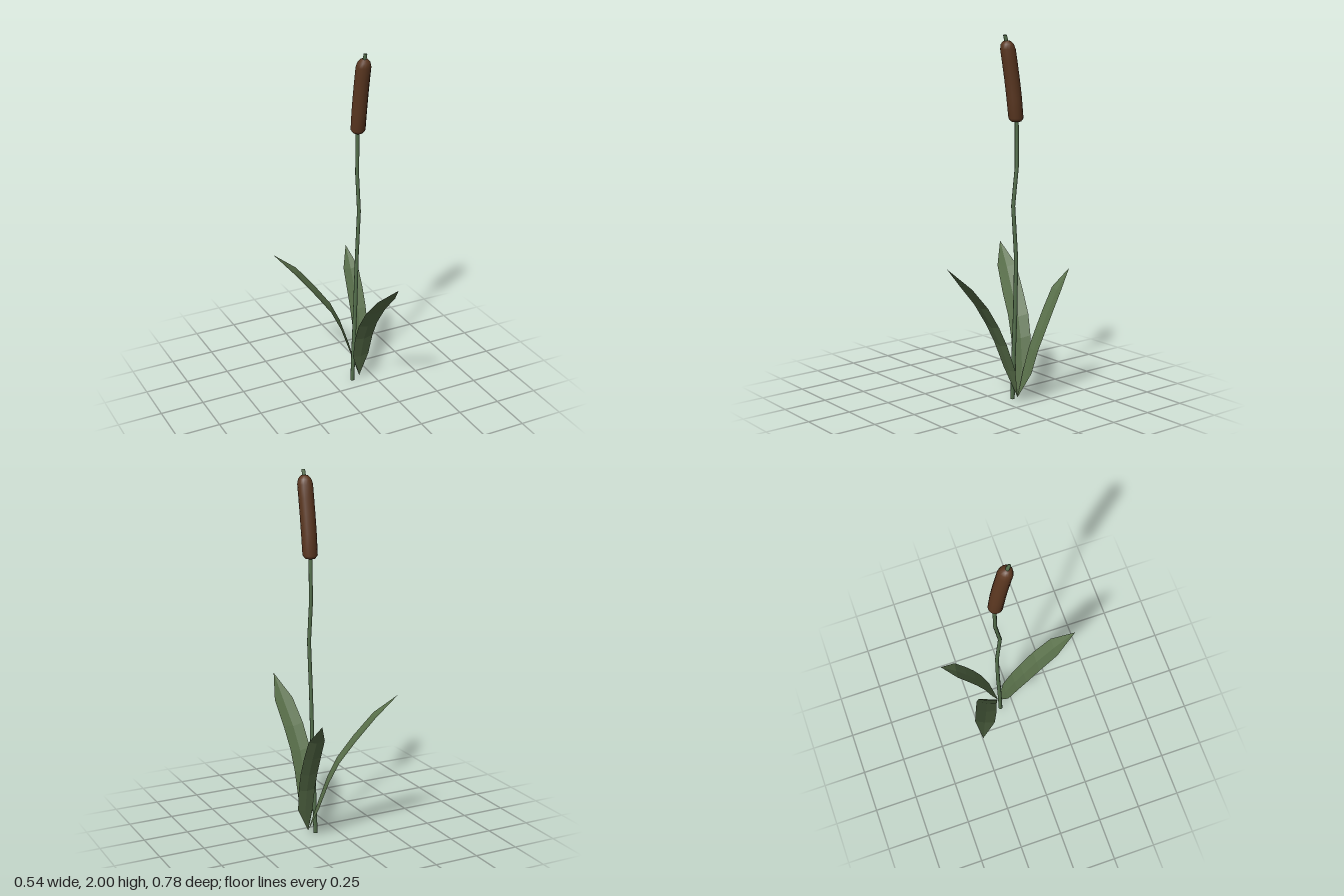
import * as THREE from 'three';

const leafGreen = new THREE.MeshStandardMaterial({ name: 'leafGreen', color: 0x5a714b, flatShading: true, side: THREE.DoubleSide });
const stemGreen = new THREE.MeshStandardMaterial({ name: 'stemGreen', color: 0x55704d });
const seedBrown = new THREE.MeshStandardMaterial({ name: 'seedBrown', color: 0x5c3821 });

function buildMesh(name, positions, indices, material) {
  const geometry = new THREE.BufferGeometry();
  geometry.setAttribute('position', new THREE.Float32BufferAttribute(positions, 3));
  geometry.setIndex(indices);
  geometry.computeVertexNormals();
  const mesh = new THREE.Mesh(geometry, material);
  mesh.name = name;
  return mesh;
}

// Horizontal rings [x, y, z, radius] joined from bottom to top
function loft(name, rings, sides, material) {
  const positions = [], indices = [];
  rings.forEach(([x, y, z, r], i) => {
    for (let j = 0; j < sides; j++) {
      const a = (j / sides) * Math.PI * 2;
      positions.push(x + r * Math.cos(a), y, z + r * Math.sin(a));
      if (i === rings.length - 1) continue;
      const p = i * sides + j, q = i * sides + (j + 1) % sides;
      indices.push(p, p + sides, q, q, p + sides, q + sides);
    }
  });
  return buildMesh(name, positions, indices, material);
}

// Blade along centre points, spread sideways by half widths, with a sunken midrib
function leaf(name, centres, halfWidths, [sx, sz]) {
  const fold = 0.22, positions = [], indices = [];
  centres.forEach(([x, y, z], i) => {
    const w = halfWidths[i];
    for (const s of [-1, 0, 1]) {
      positions.push(x + s * w * sx, y + (s === 0 ? -0.5 : 0.5) * fold * w, z + s * w * sz);
    }
    if (i === centres.length - 1) return;
    for (const k of [3 * i, 3 * i + 1]) {
      indices.push(k, k + 1, k + 3, k + 1, k + 4, k + 3);
    }
  });
  return buildMesh(name, positions, indices, leafGreen);
}

export function createModel() {
  const model = new THREE.Group();
  model.name = 'reedPlant';

  // Slightly kinked stalk, running up through the seed head
  model.add(loft('stem', [
    [0.12, 0, -0.081, 0], [0.12, 0, -0.081, 0.012], [0.128, 0.25, -0.081, 0.012],
    [0.138, 0.5, -0.083, 0.012], [0.145, 0.8, -0.082, 0.011], [0.145, 1.09, -0.06, 0.011],
    [0.145, 1.3, -0.084, 0.011], [0.145, 1.55, -0.082, 0.011], [0.145, 1.75, -0.055, 0.011],
    [0.145, 1.94, -0.018, 0.011], [0.145, 2, 0, 0.01], [0.145, 2, 0, 0],
  ], 8, stemGreen));

  // Soft bent seed head with rounded ends
  model.add(loft('seedHead', [
    [0.145, 1.542, -0.078, 0], [0.145, 1.543, -0.078, 0.027], [0.145, 1.56, -0.077, 0.04],
    [0.145, 1.67, -0.064, 0.041], [0.145, 1.77, -0.049, 0.041], [0.145, 1.86, -0.033, 0.041],
    [0.145, 1.925, -0.021, 0.041], [0.145, 1.952, -0.016, 0.034], [0.145, 1.968, -0.014, 0.02],
    [0.145, 1.972, -0.013, 0],
  ], 14, seedBrown));

  // Three blades growing from a shared root
  const root = [0.165, 0.02, -0.08];
  const wide = [0, 0.05, 0.056, 0.059, 0.06, 0.055, 0];
  const narrow = [0, 0.042, 0.046, 0.048, 0.048, 0.045, 0];
  model.add(leaf('frontLeaf', [
    root, [0.15, 0.18, -0.035], [0.14, 0.33, 0.02], [0.136, 0.44, 0.075],
    [0.14, 0.56, 0.155], [0.147, 0.68, 0.262], [0.15, 0.805, 0.388],
  ], wide, [1, 0]));
  model.add(leaf('rightLeaf', [
    root, [0.13, 0.18, -0.14], [0.085, 0.33, -0.168], [0.035, 0.44, -0.19],
    [-0.047, 0.555, -0.217], [-0.148, 0.685, -0.256], [-0.268, 0.805, -0.303],
  ], wide, [0.39, -0.92]));
  model.add(leaf('backLeaf', [
    root, [0.2, 0.16, -0.118], [0.209, 0.29, -0.156], [0.217, 0.395, -0.2],
    [0.221, 0.5, -0.25], [0.224, 0.61, -0.307], [0.233, 0.72, -0.39],
  ], narrow, [0.99, 0.12]));

  return model;
}
